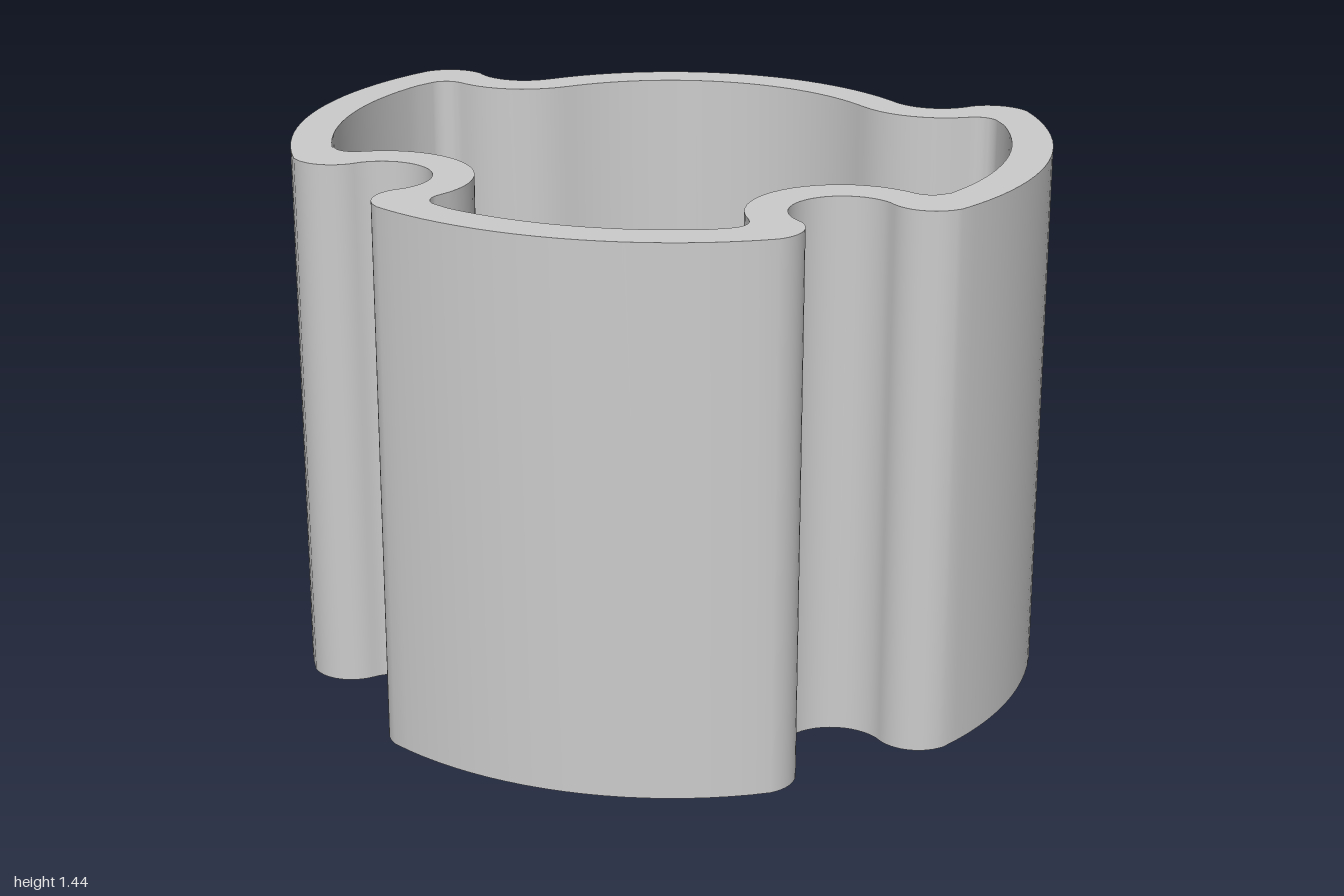
import * as THREE from 'three';
import { toCreasedNormals } from 'three/addons/utils/BufferGeometryUtils.js';

const HEIGHT = 1.44, FLOOR = 0.105, HUB_Z = -0.146;
const NOTCH = 0.6; // notch centres sit at (+-0.6, +-0.6) around the hub

// Closed clockwise outline of tangent arcs: half is traced from back to front, then mirrored.
function outline({ back, side, notch, lobe, lx, ly, corner, end }) {
  const pts = [];
  const arc = (cx, cy, r, from, to) => {
    const n = Math.max(4, Math.ceil(Math.abs(to - from) / (r > 0.5 ? 3 : 8)));
    for (let i = pts.length ? 1 : 0; i <= n; i++) {
      const a = THREE.MathUtils.degToRad(from + (to - from) * i / n);
      pts.push(new THREE.Vector2(cx + r * Math.cos(a), cy + r * Math.sin(a)));
    }
  };
  // direction from a notch centre to the neighbouring lobe centre
  const t = THREE.MathUtils.radToDeg(Math.atan2(NOTCH - ly, lx - NOTCH));
  arc(0, 0, back, 90, 45);
  arc(NOTCH, NOTCH, notch, 225, 360 - t);
  arc(lx, ly, lobe, 180 - t, end);
  arc(0, 0, side, corner, -corner);
  arc(lx, -ly, lobe, -end, t - 180);
  arc(NOTCH, -NOTCH, notch, t, 270 - t);
  arc(ly, -lx, lobe, 90 - t, end - 90);
  arc(0, 0, side, corner - 90, -90);
  const mirrored = pts.slice(1, -1).reverse().map(p => new THREE.Vector2(-p.x, p.y));
  return pts.concat(mirrored);
}

// Extrude a shape upward from y = 0, keeping curved walls smooth and rims sharp.
function extrudeUp(shape, depth) {
  const geo = new THREE.ExtrudeGeometry(shape, { depth, bevelEnabled: false, curveSegments: 32 });
  geo.rotateX(-Math.PI / 2);
  geo.translate(0, 0, HUB_Z);
  return toCreasedNormals(geo, 0.5);
}

export function createModel() {
  const group = new THREE.Group();
  group.name = 'lobedCup';
  const grey = new THREE.MeshStandardMaterial({ color: 0xcccccc });
  grey.name = 'light grey';

  const outer = outline({ back: 0.709, side: 1, notch: 0.139, lobe: 0.11, lx: 0.78, ly: 0.43, corner: 30, end: 39 });
  const inner = outline({ back: 0.604, side: 0.893, notch: 0.244, lobe: 0.057, lx: 0.757, ly: 0.342, corner: 24.3, end: 24.3 });

  // wall; the hole runs against the outline so the inside faces inward
  const wallShape = new THREE.Shape(outer);
  wallShape.holes.push(new THREE.Path([...inner].reverse()));
  const wall = new THREE.Mesh(extrudeUp(wallShape, HEIGHT), grey);
  wall.name = 'wall';

  // floor with the central hole
  const floorShape = new THREE.Shape(inner);
  floorShape.holes.push(new THREE.Path().absarc(0, 0, 0.065, 0, Math.PI * 2, false));
  const floor = new THREE.Mesh(extrudeUp(floorShape, FLOOR), grey);
  floor.name = 'floor';

  group.add(wall, floor);
  return group;
}
